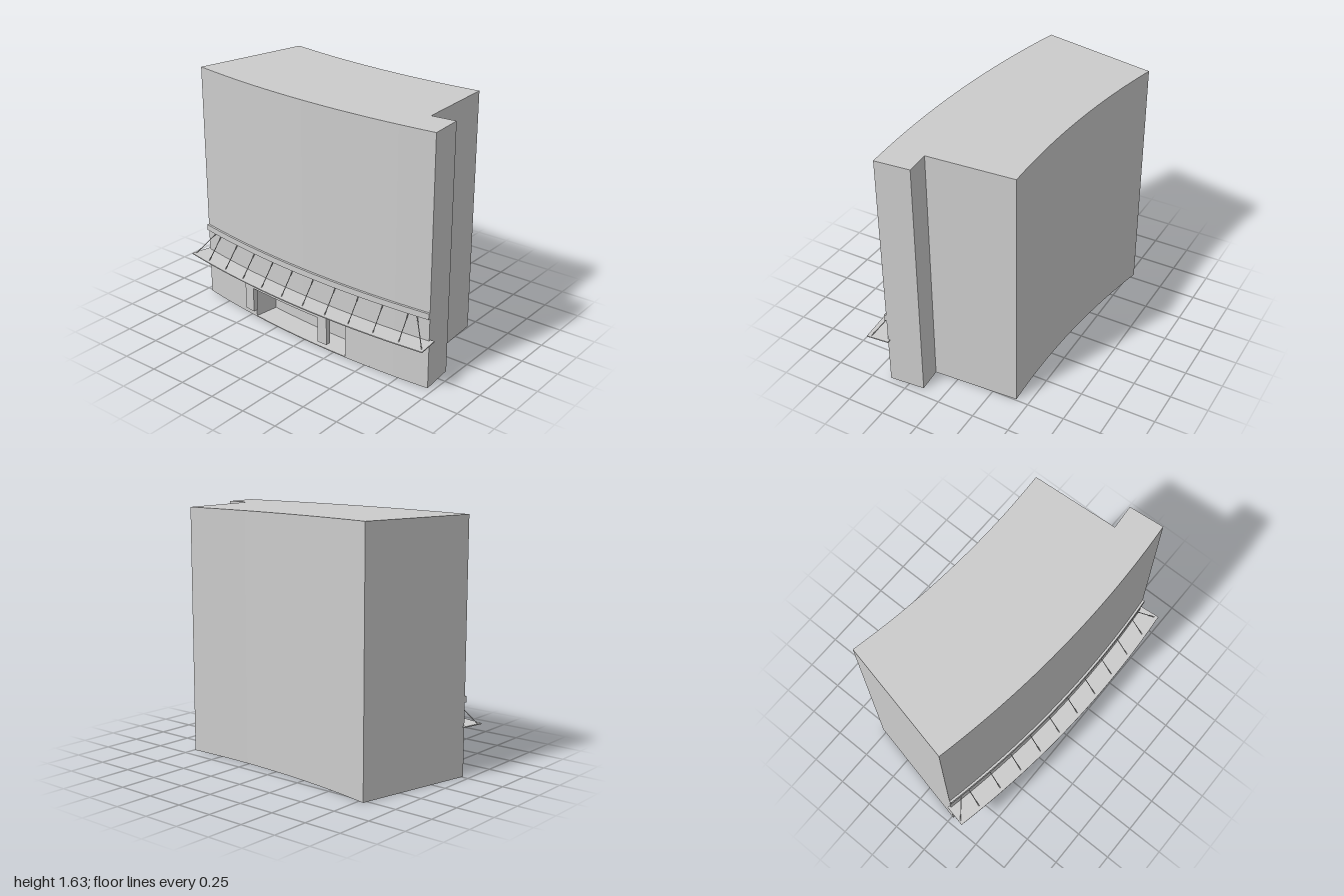
import * as THREE from 'three';

// The plan is laid out on arcs around one far centre: r = radius, t = angle.
const CX = 6.1, CZ = 0.4, WALL = 6.505;
const BACK = -0.21, FRONT = 0.0863;
const polar = (r, t) => [CX - r * Math.cos(t), CZ + r * Math.sin(t)];

function arc(r, t0, t1, n = 32) {
  const pts = [];
  for (let i = 0; i <= n; i++) pts.push(polar(r, t0 + (t1 - t0) * i / n));
  return pts;
}

export function createModel() {
  const group = new THREE.Group();
  const material = new THREE.MeshStandardMaterial({ color: 0xcccccc });

  function add(name, geometry) {
    const mesh = new THREE.Mesh(geometry, material);
    mesh.name = name;
    group.add(mesh);
    return mesh;
  }

  // Raise a plan outline of [x, z] points from y0 to y1
  function prism(name, plan, y0, y1) {
    const shape = new THREE.Shape(plan.map(([x, z]) => new THREE.Vector2(x, -z)));
    const geometry = new THREE.ExtrudeGeometry(shape, { depth: y1 - y0, bevelEnabled: false });
    geometry.rotateX(-Math.PI / 2).translate(0, y0, 0);
    return add(name, geometry);
  }

  const curvedBlock = (name, r0, r1, t0, t1, y0, y1, n = 32) =>
    prism(name, [...arc(r1, t0, t1, n), ...arc(r0, t1, t0, n)], y0, y1);

  // Thin round rod between two points
  function rod(name, a, b, radius) {
    const dir = b.clone().sub(a);
    const mesh = add(name, new THREE.CylinderGeometry(radius, radius, dir.length(), 6));
    mesh.position.copy(a).add(b).multiplyScalar(0.5);
    mesh.quaternion.setFromUnitVectors(new THREE.Vector3(0, 1, 0), dir.normalize());
  }

  // Building body, with a stepped front corner and an entrance recess low in the curved facade
  const rest = [polar(6.27, FRONT), polar(6.27, 0.06), ...arc(5.695, 0.06, BACK)];
  const plain = [...arc(WALL, BACK, FRONT), ...rest];
  const R0 = -0.131, R1 = -0.008, RECESS = 6.335;
  const recessed = [
    ...arc(WALL, BACK, R0, 10), ...arc(RECESS, R0, R1, 14), ...arc(WALL, R1, FRONT, 10), ...rest,
  ];
  prism('baseSlab', plain, 0, 0.006);
  prism('groundFloor', recessed, 0.006, 0.3);
  prism('upperFloors', plain, 0.3, 1.635);

  // Entrance frame standing just outside the facade
  curvedBlock('entrancePostBack', 6.545, 6.58, -0.134, -0.122, 0.09, 0.3, 2);
  curvedBlock('entrancePostFront', 6.545, 6.58, -0.033, -0.022, 0.09, 0.3, 2);
  curvedBlock('entranceLintel', 6.547, 6.578, -0.122, -0.033, 0.26, 0.3, 12);

  // Canopy and the wall rail it hangs from
  curvedBlock('canopy', 6.49, 6.64, -0.2125, 0.0905, 0.32, 0.327);
  curvedBlock('wallRail', 6.5, 6.52, BACK, FRONT, 0.475, 0.515);

  // Suspension rods: ten straight ones and a diagonal at each end
  const hang = (tWall, tEdge) => {
    const [ax, az] = polar(6.507, tWall), [bx, bz] = polar(6.615, tEdge);
    rod('suspensionRod', new THREE.Vector3(ax, 0.475, az), new THREE.Vector3(bx, 0.325, bz), 0.003);
  };
  for (let i = 0; i < 10; i++) {
    const t = -0.187 + 0.0279 * i;
    hang(t, t);
  }
  hang(0.073, 0.088);
  hang(-0.196, -0.2107);

  return group;
}
